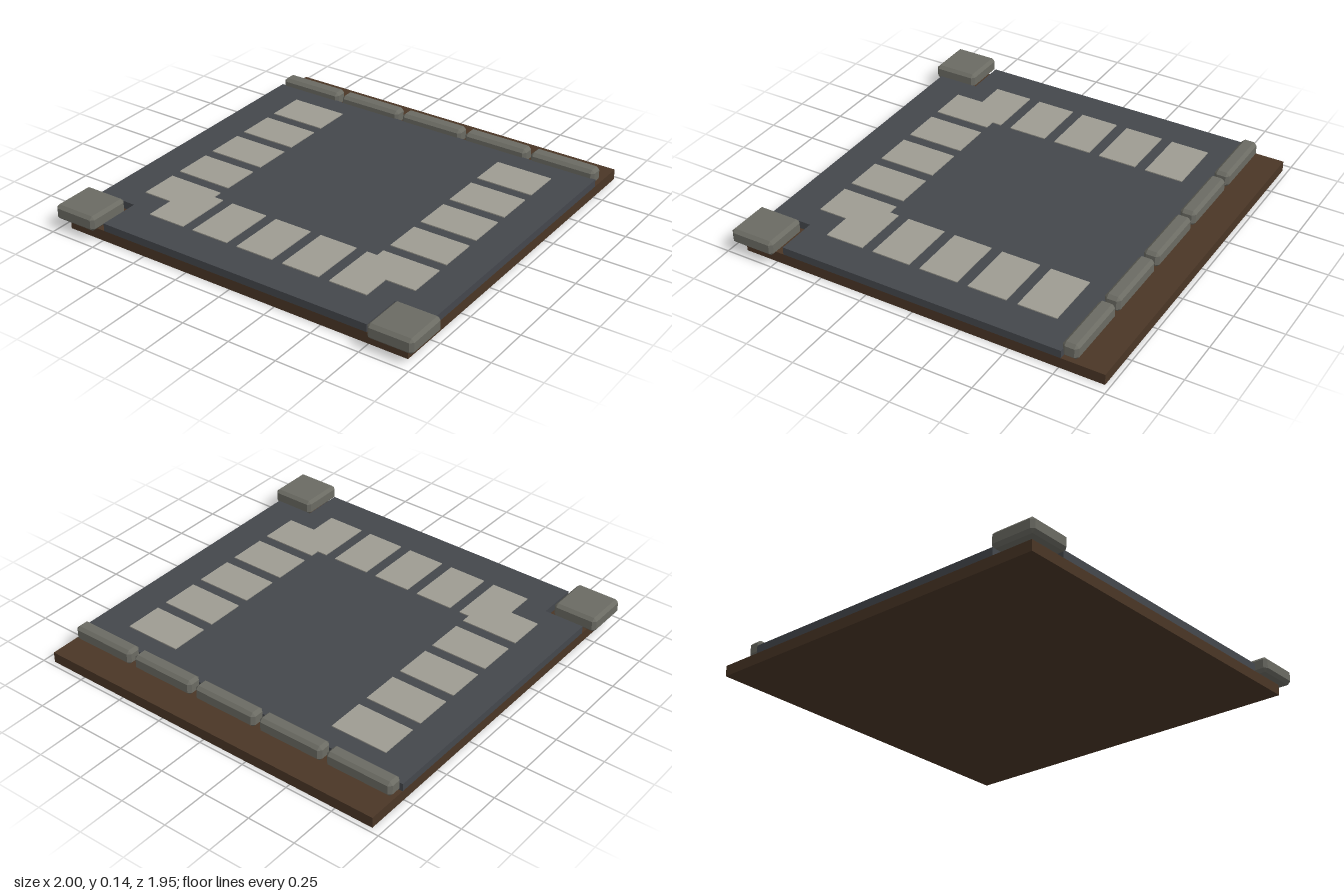
import * as THREE from 'three';
import { ConvexGeometry } from 'three/addons/geometries/ConvexGeometry.js';

const material = (color) => new THREE.MeshStandardMaterial({ color, flatShading: true });

// Box with every edge cut at 45 degrees
function chamferedBox(w, h, d, c) {
  const points = [];
  for (const sx of [-1, 1]) for (const sy of [-1, 1]) for (const sz of [-1, 1]) {
    for (let axis = 0; axis < 3; axis++) {
      const inset = [c, c, c];
      inset[axis] = 0;
      points.push(new THREE.Vector3(
        sx * (w / 2 - inset[0]), sy * (h / 2 - inset[1]), sz * (d / 2 - inset[2])));
    }
  }
  return new ConvexGeometry(points);
}

export function createModel() {
  const model = new THREE.Group();
  const earth = material(0x4a3626);
  const asphalt = material(0x44474c);
  const stone = material(0x6b6b63);
  const paint = material(0x9e9c92);

  function add(name, geometry, mat, x, y, z) {
    const mesh = new THREE.Mesh(geometry, mat);
    mesh.name = name;
    mesh.position.set(x, y, z);
    model.add(mesh);
    return mesh;
  }

  // Earth base
  add('base', new THREE.BoxGeometry(1.9, 0.055, 1.9), earth, 0, 0.0275, -0.025);

  // Road slab with the two front corners notched out (shape y becomes -z)
  const outline = [
    [-0.95, 0.76], [-0.95, -0.71], [-0.74, -0.71], [-0.74, -0.925],
    [0.74, -0.925], [0.74, -0.71], [0.95, -0.71], [0.95, 0.76],
  ].map(([x, y]) => new THREE.Vector2(x, y));
  const slab = new THREE.ExtrudeGeometry(new THREE.Shape(outline), { depth: 0.04, bevelEnabled: false });
  slab.rotateX(-Math.PI / 2);
  add('roadSlab', slab, asphalt, 0, 0.055, 0);

  // Crossing stripes along both sides and the front
  const sideStripe = new THREE.BoxGeometry(0.3, 0.01, 0.2);
  const frontStripe = new THREE.BoxGeometry(0.2, 0.01, 0.3);
  for (let i = -2; i <= 2; i++) {
    for (const side of [-1, 1]) {
      add('sideStripe', sideStripe, paint, side * 0.62, 0.095, -0.025 + i * 0.2575);
    }
    add('frontStripe', frontStripe, paint, i * 0.2575, 0.095, 0.59);
  }

  // Row of kerb stones at the back
  const kerb = chamferedBox(0.355, 0.078, 0.08, 0.016);
  for (let i = -2; i <= 2; i++) add('kerbStone', kerb, stone, i * 0.381, 0.096, -0.795);

  // Kerb blocks on the front corners
  const corner = chamferedBox(0.235, 0.078, 0.235, 0.016);
  for (const side of [-1, 1]) add('cornerBlock', corner, stone, side * 0.8825, 0.096, 0.855);

  return model;
}
